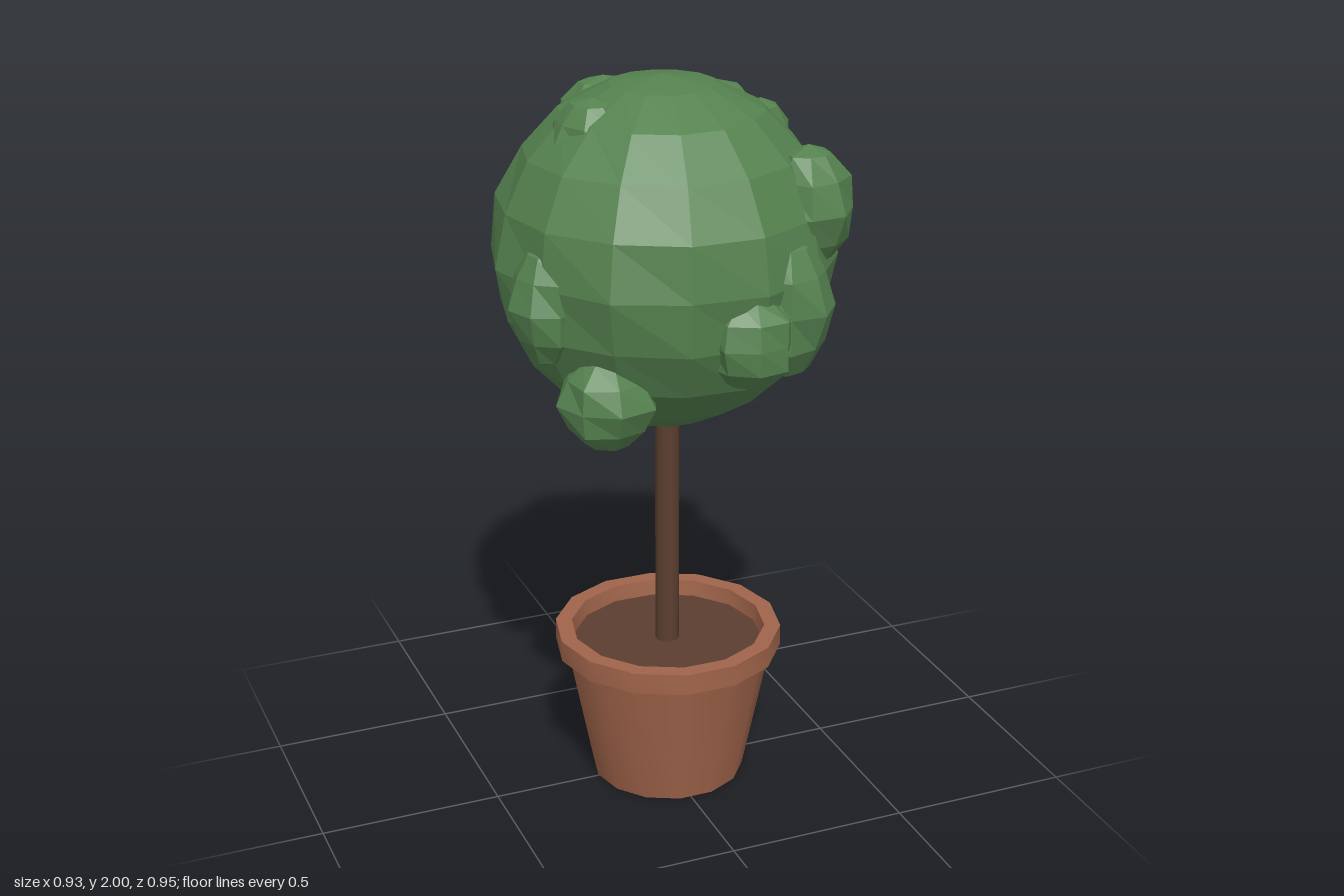
import * as THREE from 'three';
import { toCreasedNormals } from 'three/addons/utils/BufferGeometryUtils.js';

const material = (name, color, flatShading = false) => {
  const m = new THREE.MeshStandardMaterial({ color, flatShading });
  m.name = name;
  return m;
};

// Low-poly sphere whose vertices are nudged sideways by a smooth wave
function leafBall(segments, rings, wobble, seed) {
  const geometry = new THREE.SphereGeometry(1, segments, rings);
  const p = geometry.attributes.position;
  for (let i = 0; i < p.count; i++) {
    const x = p.getX(i), y = p.getY(i), z = p.getZ(i);
    const k = 1 + wobble * Math.sin(5 * x + 7 * y + 6 * z + seed);
    p.setXYZ(i, x * k, y, z * k);
  }
  return geometry;
}

export function createModel() {
  const terracotta = material('terracotta', 0xa0644a);
  const wood = material('wood', 0x5c3e30);
  const leaf = material('leaf green', 0x55824f, true);

  const model = new THREE.Group();
  model.name = 'pottedTree';
  const add = (parent, name, geometry, mat, x, y, z) => {
    const mesh = new THREE.Mesh(geometry, mat);
    mesh.name = name;
    mesh.position.set(x, y, z);
    parent.add(mesh);
    return mesh;
  };

  // Tapered pot with an overhanging rim and hollow top
  const profile = [
    [0, 0], [0.213, 0], [0.29, 0.385], [0.315, 0.385],
    [0.315, 0.445], [0.27, 0.445], [0.262, 0.38],
  ].map(([r, y]) => new THREE.Vector2(r, y));
  const potGeometry = toCreasedNormals(new THREE.LatheGeometry(profile, 14), 0.6);
  add(model, 'pot', potGeometry, terracotta, 0.015, 0, -0.005).rotation.y = Math.PI / 2;

  // Soil and trunk
  const soil = new THREE.CircleGeometry(0.266, 14).rotateX(-Math.PI / 2);
  add(model, 'soil', soil, wood, 0.015, 0.4, -0.005);
  add(model, 'trunk', new THREE.CylinderGeometry(0.033, 0.033, 0.8, 10), wood, 0.013, 0.78, -0.005);

  // Round crown
  const crown = new THREE.Group();
  crown.name = 'crown';
  model.add(crown);
  add(crown, 'mainFoliage', leafBall(14, 10, 0.012, 0), leaf, 0.008, 1.532, -0.03)
    .scale.set(0.455, 0.468, 0.462);

  // Leaf clumps half sunk in the crown: x, y, z, then radii
  const clumps = [
    [-0.365, 1.47, 0.11, 0.095, 0.16, 0.11],
    [-0.24, 1.23, 0.21, 0.13, 0.13, 0.13],
    [0.09, 1.40, 0.355, 0.12, 0.13, 0.12],
    [0.21, 1.455, 0.31, 0.115, 0.19, 0.13],
    [0.31, 1.68, 0.21, 0.12, 0.165, 0.125],
    [-0.07, 1.83, -0.25, 0.13, 0.125, 0.11],
    [0.23, 1.79, -0.19, 0.12, 0.14, 0.13],
    [-0.195, 1.84, 0.0, 0.12, 0.125, 0.11],
    [0.33, 1.735, -0.13, 0.09, 0.15, 0.12],
  ];
  clumps.forEach(([x, y, z, rx, ry, rz], i) => {
    const clump = add(crown, 'leafClump', leafBall(8, 6, 0.08, i * 2.1), leaf, x, y, z);
    clump.scale.set(rx, ry, rz);
    clump.rotation.y = i * 0.7;
  });

  return model;
}
